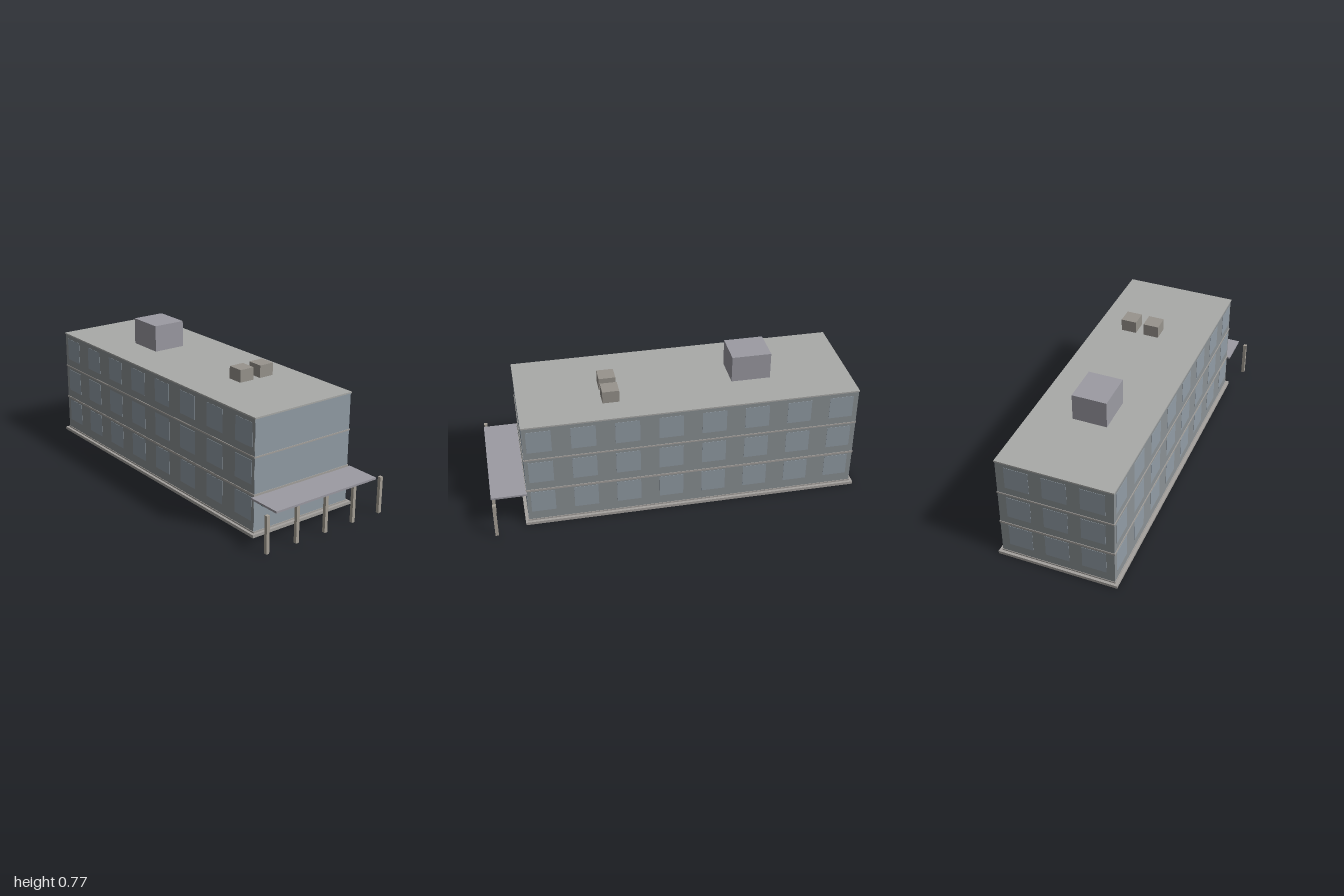
import * as THREE from 'three';

const mat = (color) => new THREE.MeshStandardMaterial({ color });

export function createModel() {
  const model = new THREE.Group();
  const wall = mat(0x8b9194), glass = mat(0x929da6), trim = mat(0xa5a29e);
  const roofGrey = mat(0xa9aaa8), stone = mat(0xa8a298), canopyGrey = mat(0x9c9ba3);
  const teal = mat(0x4f8a86), ventGrey = mat(0x98948d);

  // box given by its min and max on each axis
  const box = (name, [x0, x1], [y0, y1], [z0, z1], material, parent = model) => {
    const mesh = new THREE.Mesh(new THREE.BoxGeometry(x1 - x0, y1 - y0, z1 - z0), material);
    mesh.position.set((x0 + x1) / 2, (y0 + y1) / 2, (z0 + z1) / 2);
    mesh.name = name;
    parent.add(mesh);
    return mesh;
  };

  // plinth and main block; the entrance end is plain glazing
  box('plinth', [-1, 0.83], [0, 0.016], [-0.328, 0.328], trim);
  box('walls', [-0.982, 0.81], [0.016, 0.614], [-0.31, 0.31], wall);
  box('endGlazing', [0.81, 0.812], [0.024, 0.613], [-0.309, 0.309], glass);

  // thin bands at every floor, and the roof slab
  [[0.016, 0.024], [0.212, 0.223], [0.412, 0.42]].forEach((y) =>
    box('floorBand', [-0.985, 0.815], y, [-0.313, 0.313], trim));
  box('roof', [-0.985, 0.815], [0.612, 0.62], [-0.313, 0.313], roofGrey);

  // flush windows on both long sides and the far end
  const windows = new THREE.Group();
  windows.name = 'windows';
  model.add(windows);
  for (let floor = 0; floor < 3; floor++) {
    const y = [0.075 + floor * 0.193, 0.203 + floor * 0.193];
    for (let i = 0; i < 8; i++) {
      const x = -0.89 + i * 0.231;
      for (const s of [-1, 1]) {
        box('window', [x - 0.065, x + 0.065], y, [s * 0.3105 - 0.001, s * 0.3105 + 0.001], glass, windows);
      }
    }
    for (const z of [-0.2, 0, 0.2]) {
      box('endWindow', [-0.9835, -0.9815], y, [z - 0.065, z + 0.065], glass, windows);
    }
  }

  // entrance sign panel, canopy and its row of posts
  box('entrancePanel', [0.81, 0.822], [0.15, 0.187], [-0.262, 0.264], teal);
  box('canopy', [0.81, 1], [0.2, 0.211], [-0.328, 0.328], canopyGrey);
  for (let i = -2; i <= 2; i++) {
    const z = i * 0.1865;
    box('canopyPost', [0.979, 0.997], [0, 0.2], [z - 0.009, z + 0.009], stone);
  }

  // rooftop plant room and vents
  box('plantRoom', [-0.551, -0.338], [0.62, 0.768], [-0.093, 0.094], canopyGrey);
  box('roofVent', [0.283, 0.373], [0.62, 0.688], [-0.036, 0.051], ventGrey);
  box('roofVent', [0.283, 0.373], [0.62, 0.688], [-0.166, -0.08], ventGrey);

  return model;
}
